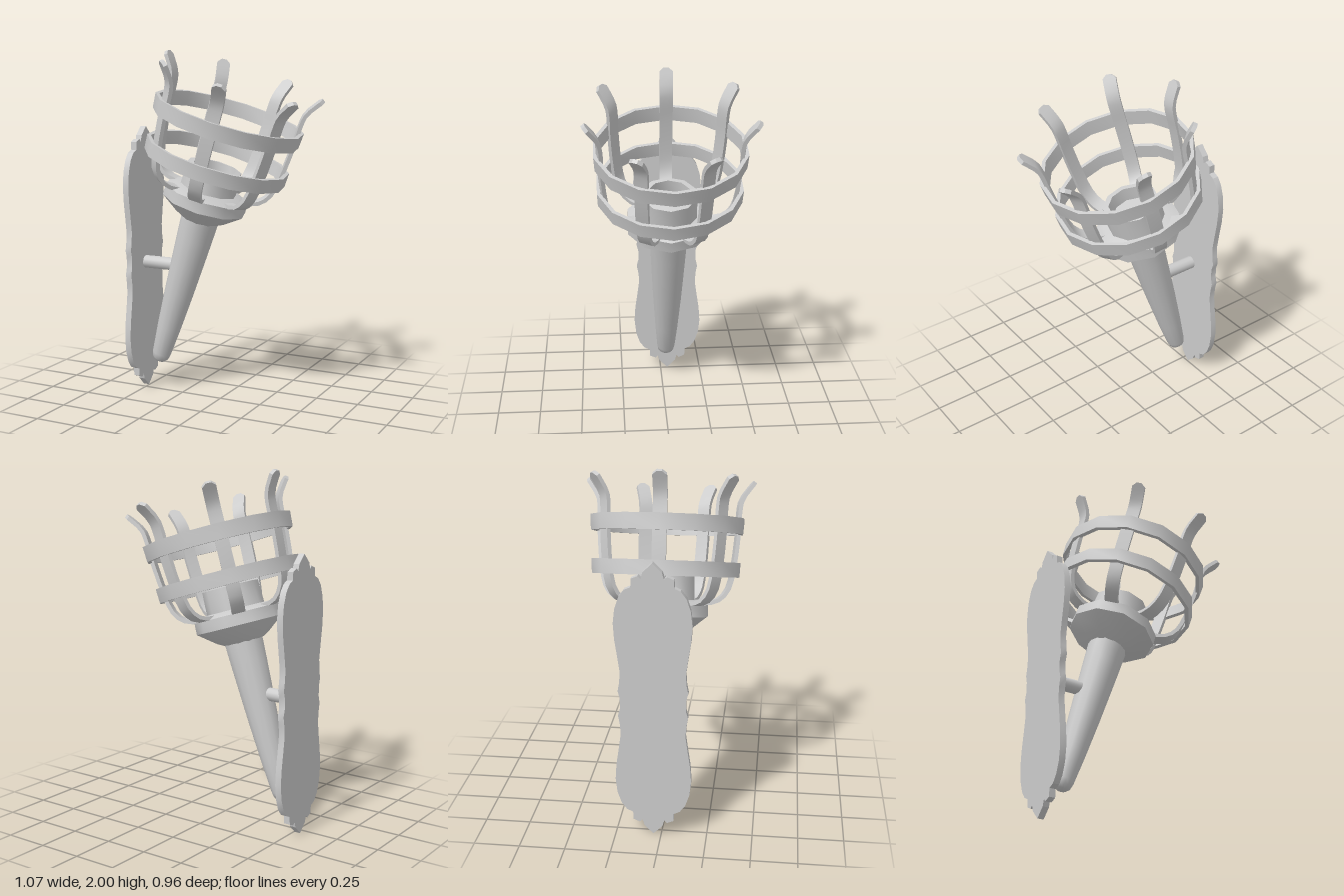
import * as THREE from 'three';
import { toCreasedNormals } from 'three/addons/utils/BufferGeometryUtils.js';

const V2 = (x, y) => new THREE.Vector2(x, y);
const material = new THREE.MeshStandardMaterial({ color: 0xcccccc });

function part(name, geometry, crease = 0.7) {
  const mesh = new THREE.Mesh(toCreasedNormals(geometry, crease), material);
  mesh.name = name;
  return mesh;
}

// Turned part from [radius, height] pairs, with a vertex facing -x
function turned(name, profile, sides, crease) {
  const points = profile.map(([r, y]) => V2(r, y));
  return part(name, new THREE.LatheGeometry(points, sides, -Math.PI / 2), crease);
}

// Flat hoop with a rectangular section, slightly flared
function hoop(name, y0, y1, r0, r1) {
  const t = 0.022;
  return turned(name, [[r0, y0], [r1, y1], [r1 - t, y1], [r0 - t, y0], [r0, y0]], 14);
}

// Flat bar swept along a curve in the x-y plane, narrowing to a blunt point
function ribGeometry() {
  const curve = new THREE.SplineCurve([
    V2(0.14, 1.085), V2(0.27, 1.095), V2(0.345, 1.165), V2(0.375, 1.3),
    V2(0.392, 1.48), V2(0.395, 1.59), V2(0.41, 1.67), V2(0.478, 1.765),
  ]);
  const stations = [...Array(17).keys()].map((i) => i / 17).concat(0.965, 1);
  const positions = [], index = [], half = 0.011;
  stations.forEach((t, k) => {
    const p = curve.getPoint(t), d = curve.getTangent(t);
    const nx = d.y * half, ny = -d.x * half;
    const w = t === 1 ? 0.014 : 0.037;
    for (const [n, z] of [[-1, -w], [1, -w], [1, w], [-1, w]]) {
      positions.push(p.x + n * nx, p.y + n * ny, z);
    }
    if (k === 0) return;
    for (let c = 0; c < 4; c++) {
      const i1 = k * 4 + c, j1 = k * 4 + (c + 1) % 4;
      index.push(j1 - 4, i1 - 4, i1, j1 - 4, i1, j1);
    }
  });
  const e = (stations.length - 1) * 4;
  index.push(0, 1, 2, 0, 2, 3, e, e + 2, e + 1, e, e + 3, e + 2);
  const g = new THREE.BufferGeometry();
  g.setAttribute('position', new THREE.Float32BufferAttribute(positions, 3));
  g.setIndex(index);
  return g;
}

// Ornate wall plate: one quarter outline, mirrored both ways
function plateGeometry() {
  const height = 1.56;
  const quarter = [
    [0, 0], [0.05, 0.05], [0.06, 0.085], [0.075, 0.07], [0.11, 0.085], [0.112, 0.13],
    [0.145, 0.145], [0.175, 0.185], [0.197, 0.25], [0.206, 0.33], [0.2, 0.42],
    [0.185, 0.52], [0.174, 0.6], [0.178, 0.66], [0.187, 0.71], [0.176, 0.75],
  ];
  const side = quarter.concat(quarter.slice().reverse().map(([x, y]) => [x, height - y]));
  const other = side.slice(1, -1).reverse().map(([x, y]) => [-x, y]);
  const shape = new THREE.Shape(side.concat(other).map(([x, y]) => V2(x, y)));
  const g = new THREE.ExtrudeGeometry(shape, { depth: 0.036, bevelEnabled: false });
  return g.rotateY(Math.PI / 2);
}

export function createModel() {
  const model = new THREE.Group();
  model.name = 'wallTorch';

  // Wall plate and the rod that holds the torch
  const plate = part('wallPlate', plateGeometry(), 0.5);
  plate.position.set(-0.54, 0, -0.043);
  const rod = part('mountingRod', new THREE.CylinderGeometry(0.038, 0.038, 0.27, 12).rotateZ(Math.PI / 2));
  rod.position.set(-0.385, 0.762, -0.028);
  model.add(plate, rod);

  // Everything else leans away from the wall along one axis
  const torch = new THREE.Group();
  torch.name = 'torch';
  torch.position.set(-0.42, 0.165, -0.028);
  torch.rotation.z = -0.3045;
  model.add(torch);

  torch.add(turned('handle', [
    [0, 0], [0.03, 0.006], [0.048, 0.025], [0.055, 0.055], [0.07, 0.23],
    [0.085, 0.45], [0.095, 0.63], [0.104, 0.8], [0.11, 0.94],
  ], 14, 0.9));

  torch.add(turned('collar', [
    [0.105, 0.915], [0.15, 0.94], [0.246, 1.015], [0.244, 1.08], [0.19, 1.105], [0, 1.105],
  ], 10));

  torch.add(turned('cup', [
    [0.165, 1.09], [0.16, 1.235], [0.125, 1.24], [0.12, 1.16], [0, 1.16],
  ], 10));

  // Basket: two hoops and seven curled ribs
  torch.add(hoop('lowerHoop', 1.235, 1.315, 0.41, 0.414));
  torch.add(hoop('upperHoop', 1.47, 1.556, 0.422, 0.428));
  const ribShape = ribGeometry();
  for (let i = 0; i < 7; i++) {
    const rib = part('basketRib', ribShape);
    rib.rotation.y = Math.PI + (i * 2 * Math.PI) / 7;
    torch.add(rib);
  }
  return model;
}
